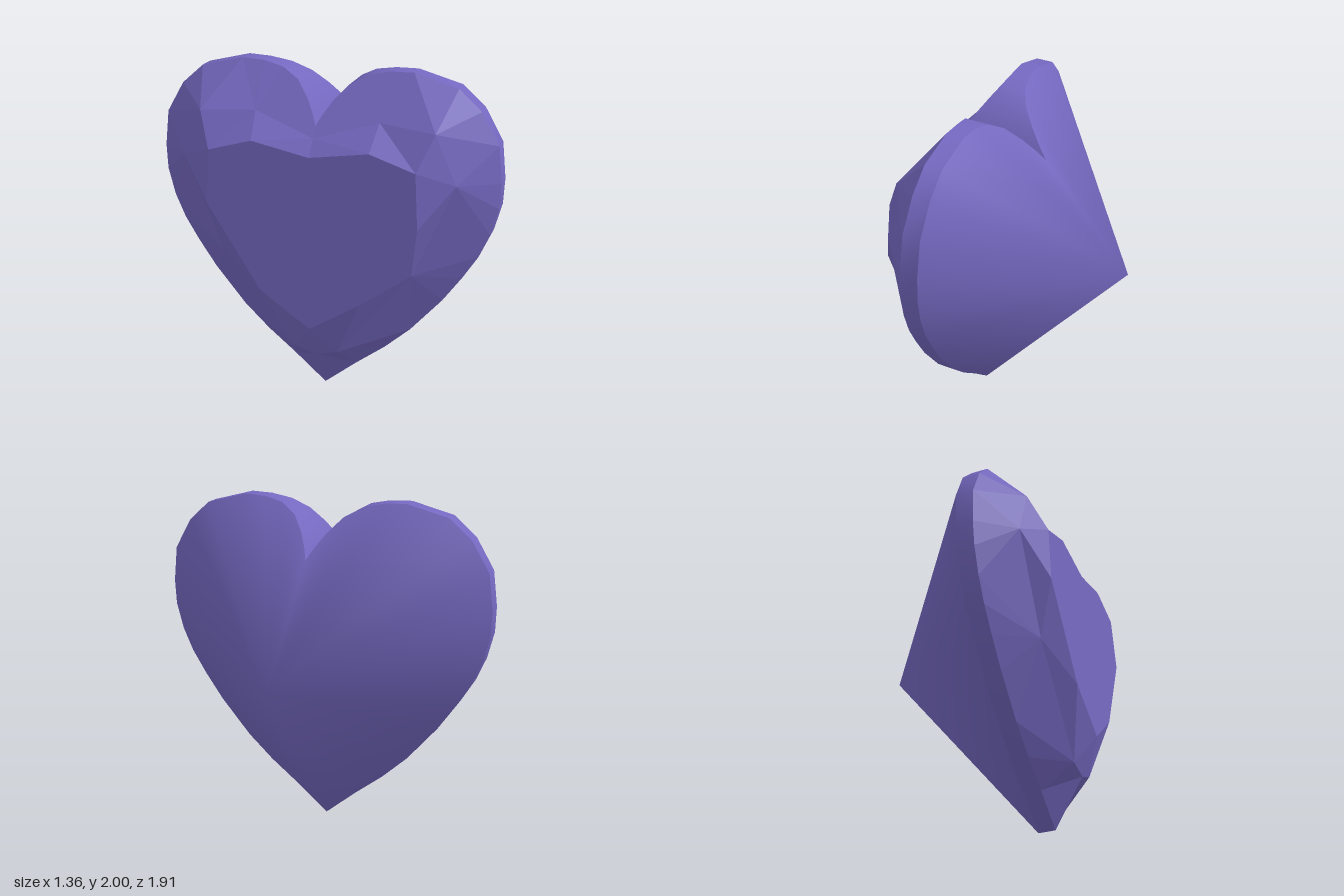
import * as THREE from 'three';

// Right half of the heart outline, from bottom point to cleft
const OUTLINE = [
  [0, -1], [0.2, -0.83], [0.37, -0.695], [0.525, -0.55], [0.71, -0.33], [0.82, -0.17],
  [0.905, -0.03], [0.965, 0.11], [1.005, 0.27], [1.01, 0.42], [0.985, 0.63], [0.88, 0.81],
  [0.75, 0.925], [0.5, 0.99], [0.37, 0.985], [0.25, 0.96], [0.15, 0.905], [0.075, 0.82],
  [0.03, 0.75], [0, 0.69],
];
const APEX = [0, 0.09, 0.89];
const inCleft = (i) => i > 13;

// Girdle edges: the slopes above and below run on into the cleft
const pavilionEdge = OUTLINE.map(([x, y], i) =>
  [x, y, inCleft(i) ? APEX[2] - 0.84 * (y - APEX[1]) / 0.9 : 0.05]);
const crownEdge = OUTLINE.map(([x, y], i) =>
  [x, y, inCleft(i) ? Math.min(-0.05, -0.05 - (0.98 - y) * 0.62) : -0.05]);

// Crown break line and table corners, right half
const crownMid = [
  [0, -0.72, -0.23], [0.135, -0.68, -0.23], [0.57, -0.12, -0.235], [0.8, 0.44, -0.235],
  [0.68, 0.72, -0.25], [0.36, 0.74, -0.21], [0, 0.63, -0.268],
];
const table = [[0, -0.5], [0.3, -0.3], [0.62, 0.2], [0.6, 0.52], [0.34, 0.6], [0, 0.54]]
  .map(([x, y]) => [x, y, -0.335]);

const mirror = (p) => [-p[0], p[1], p[2]];
const dist = (p, q) => Math.hypot(p[0] - q[0], p[1] - q[1], p[2] - q[2]);

// Triangles between an outer and an inner line, taking the shorter diagonal
function zip(outer, inner) {
  const tris = [];
  let i = 0, j = 0;
  while (i < outer.length - 1 || j < inner.length - 1) {
    const stepOuter = j === inner.length - 1 ||
      (i < outer.length - 1 && dist(outer[i + 1], inner[j]) <= dist(outer[i], inner[j + 1]));
    if (stepOuter) tris.push([outer[i], inner[j], outer[++i]]);
    else tris.push([outer[i], inner[j], inner[++j]]);
  }
  return tris;
}

const bothSides = (tris) =>
  tris.concat(tris.map(([a, b, c]) => [mirror(a), mirror(c), mirror(b)]));

function meshOf(name, points, index, material) {
  const geometry = new THREE.BufferGeometry();
  geometry.setAttribute('position', new THREE.Float32BufferAttribute(points.flat(), 3));
  if (index) geometry.setIndex(index);
  geometry.computeVertexNormals();
  const mesh = new THREE.Mesh(geometry, material);
  mesh.name = name;
  return mesh;
}

export function createModel() {
  const model = new THREE.Group();
  model.name = 'heartGem';
  const material = new THREE.MeshStandardMaterial({ color: 0x7468c0 });

  // Pavilion: smooth cone from the apex to the closed heart outline
  const loop = [...pavilionEdge, ...pavilionEdge.slice(1, -1).reverse().map(mirror)];
  const fan = loop.flatMap((_, i) => [0, i + 1, ((i + 1) % loop.length) + 1]);
  const pavilion = meshOf('pavilion', [APEX, ...loop], fan, material);

  // Girdle: one smooth band per half, creased at the point and the cleft
  const n = OUTLINE.length;
  const girdles = [false, true].map((flip) => {
    const points = [...crownEdge, ...pavilionEdge].map((p) => (flip ? mirror(p) : p));
    const index = [];
    for (let i = 0; i < n - 1; i++) {
      const [a, b, c, d] = [i, i + 1, n + i + 1, n + i];
      index.push(...(flip ? [a, c, b, a, d, c] : [a, b, c, a, c, d]));
    }
    return meshOf(flip ? 'girdleMirrored' : 'girdle', points, index, material);
  });

  // Crown facets and flat table
  const facets = bothSides([...zip(crownEdge, crownMid), ...zip(crownMid, table)]);
  const crown = meshOf('crown', facets.flat(), null, material);
  const centre = [0, 0.1, -0.335];
  const top = bothSides(table.slice(1).map((p, i) => [centre, p, table[i]]));
  const tableMesh = meshOf('table', top.flat(), null, material);

  // Gem lies turned and slightly leaning
  const gem = new THREE.Group();
  gem.name = 'gem';
  gem.add(pavilion, ...girdles, crown, tableMesh);
  gem.rotation.set(0.056, 1.95, -0.01, 'YXZ');
  gem.position.set(-0.15, 1, 0);
  model.add(gem);
  return model;
}
